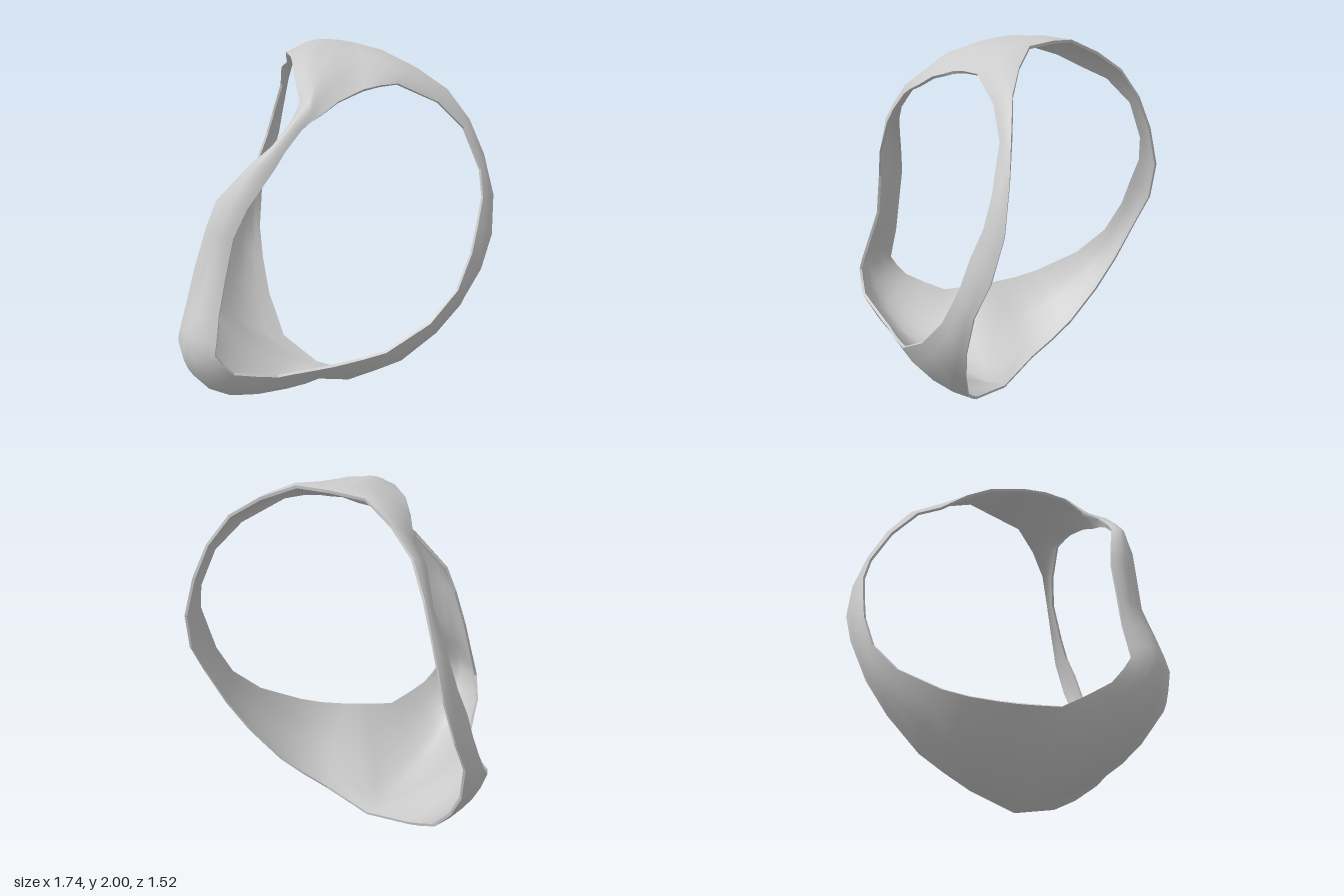
import * as THREE from 'three';
import { mergeVertices } from 'three/addons/utils/BufferGeometryUtils.js';

const THICK = 0.015, STEPS = 4, BULGE = 0.1;
const CENTRE = new THREE.Vector3(0, 1, -0.1);

// Each row pairs a point on a side opening with one on the middle line or back edge.
// Lower bowl, front to back: opening edge
const bowlOpening = [
  [.14, .65, .67], [.145, .58, .69], [.17, .52, .66], [.205, .455, .615], [.25, .41, .5],
  [.30, .37, .38], [.35, .38, .31], [.39, .387, .26], [.43, .395, .21],
];
// Lower bowl: middle line
const bowlMiddle = [
  [0, .66, .73], [0, .55, .76], [0, .41, .72], [0, .27, .615], [0, .155, .47],
  [0, .08, .285], [0, .027, .06], [0, .005, -.15], [0, .015, -.265],
];
// Side rib, bottom to top: opening edge and back edge
const ribOpening = [
  [.49, .41, .14], [.58, .44, .03], [.67, .48, -.07], [.79, .615, -.29], [.845, .78, -.45], [.85, .97, -.55],
  [.84, 1.12, -.60], [.82, 1.26, -.655], [.78, 1.4, -.67], [.675, 1.61, -.64], [.57, 1.75, -.54],
];
const ribBack = [
  [.30, .08, -.27], [.43, .165, -.335], [.55, .25, -.39], [.70, .44, -.48], [.80, .62, -.55], [.865, .85, -.635],
  [.86, 1.03, -.72], [.82, 1.24, -.762], [.75, 1.46, -.74], [.67, 1.645, -.695], [.56, 1.8, -.63],
];
// Top cap, back edge
const capBack = [[.40, 1.9, -.565], [.21, 1.975, -.505]];
// Top cap and front rib, running forward and down: twisted middle line
const frontMiddle = [
  [0, 1.985, -.515], [0, 1.997, -.31], [.08, 1.97, -.16], [.18, 1.91, 0], [.25, 1.82, .1], [.25, 1.74, .22],
  [.215, 1.63, .33], [.165, 1.53, .42], [.07, 1.34, .51], [.02, 1.18, .56], [0, .945, .6], [0, .76, .69],
];
// The two openings differ only along the cap and the front rib
const leftFront = [
  [.435, 1.857, -.36], [.40, 1.86, -.26], [.365, 1.85, -.17], [.345, 1.83, -.1], [.33, 1.81, -.02],
  [.31, 1.76, .08], [.295, 1.73, .15], [.285, 1.7, .2], [.265, 1.61, .29], [.25, 1.53, .35],
  [.18, 1.34, .47], [.13, 1.18, .525], [.107, .95, .57], [.12, .78, .63],
];
const rightFront = [
  [-.455, 1.81, -.47], [-.35, 1.89, -.35], [-.25, 1.935, -.25], [-.1, 1.95, -.13], [0, 1.93, -.04],
  [.09, 1.885, .04], [.18, 1.8, .1], [.21, 1.725, .2], [.18, 1.62, .3], [.11, 1.53, .38],
  [-.03, 1.33, .49], [-.075, 1.18, .525], [-.11, .95, .59], [-.13, .78, .63],
];

// Adds one half of the shell: a band running right round a side opening
function addBand(side, front, positions, index) {
  const mirror = list => list.map(([x, y, z]) => [x * side, y, z]);
  const inner = [...mirror(bowlOpening), ...mirror(ribOpening), ...front];
  const outer = [...bowlMiddle, ...mirror(ribBack), ...mirror(capBack), ...frontMiddle];
  const base = positions.length / 3, rows = inner.length;
  for (let i = 0; i < rows; i++) {
    const a = new THREE.Vector3(...inner[i]), b = new THREE.Vector3(...outer[i]);
    const width = a.distanceTo(b);
    for (let j = 0; j <= STEPS; j++) {
      const t = j / STEPS;
      const p = a.clone().lerp(b, t);
      const out = p.clone().sub(CENTRE).normalize();
      p.addScaledVector(out, BULGE * width * 4 * t * (1 - t));
      positions.push(p.x, p.y, p.z);
    }
  }
  for (let i = 0; i < rows; i++) {
    for (let j = 0; j < STEPS; j++) {
      const a = base + i * (STEPS + 1) + j;
      const b = base + ((i + 1) % rows) * (STEPS + 1) + j;
      if (side > 0) index.push(a, a + 1, b, b, a + 1, b + 1);
      else index.push(a, b, a + 1, b, b + 1, a + 1);
    }
  }
}

function makeGeometry(positions, index) {
  const g = new THREE.BufferGeometry();
  g.setAttribute('position', new THREE.Float32BufferAttribute(positions, 3));
  g.setIndex(index);
  return g;
}

export function createModel() {
  const group = new THREE.Group();
  group.name = 'openShell';
  const material = new THREE.MeshStandardMaterial({ color: 0xcccccc, side: THREE.DoubleSide });
  const add = (geometry, name) => {
    geometry.computeVertexNormals();
    const mesh = new THREE.Mesh(geometry, material);
    mesh.name = name;
    group.add(mesh);
  };

  // Outer skin: both bands welded along the middle line
  const positions = [], index = [];
  addBand(1, leftFront, positions, index);
  addBand(-1, rightFront, positions, index);
  const skin = mergeVertices(makeGeometry(positions, index), 1e-4);
  add(skin, 'outerSkin');

  // Inner skin: offset inward along the normals
  const pos = skin.attributes.position, nor = skin.attributes.normal;
  const outerPts = [], innerPts = [];
  for (let i = 0; i < pos.count; i++) {
    const p = new THREE.Vector3().fromBufferAttribute(pos, i);
    const n = new THREE.Vector3().fromBufferAttribute(nor, i);
    outerPts.push(p);
    innerPts.push(p.clone().addScaledVector(n, -THICK));
  }
  const faces = Array.from(skin.index.array);
  add(makeGeometry(innerPts.flatMap(p => p.toArray()), faces.slice().reverse()), 'innerSkin');

  // Rims: close the thickness along every open edge
  const edges = new Map();
  for (let f = 0; f < faces.length; f += 3) {
    for (let k = 0; k < 3; k++) {
      const a = faces[f + k], b = faces[f + (k + 1) % 3];
      edges.set(`${a},${b}`, [a, b]);
    }
  }
  const rim = [], rimIndex = [];
  for (const [a, b] of edges.values()) {
    if (edges.has(`${b},${a}`)) continue;
    const n = rim.length / 3;
    for (const p of [outerPts[a], outerPts[b], innerPts[a], innerPts[b]]) rim.push(p.x, p.y, p.z);
    rimIndex.push(n, n + 2, n + 1, n + 1, n + 2, n + 3);
  }
  add(makeGeometry(rim, rimIndex), 'openingRims');

  return group;
}
